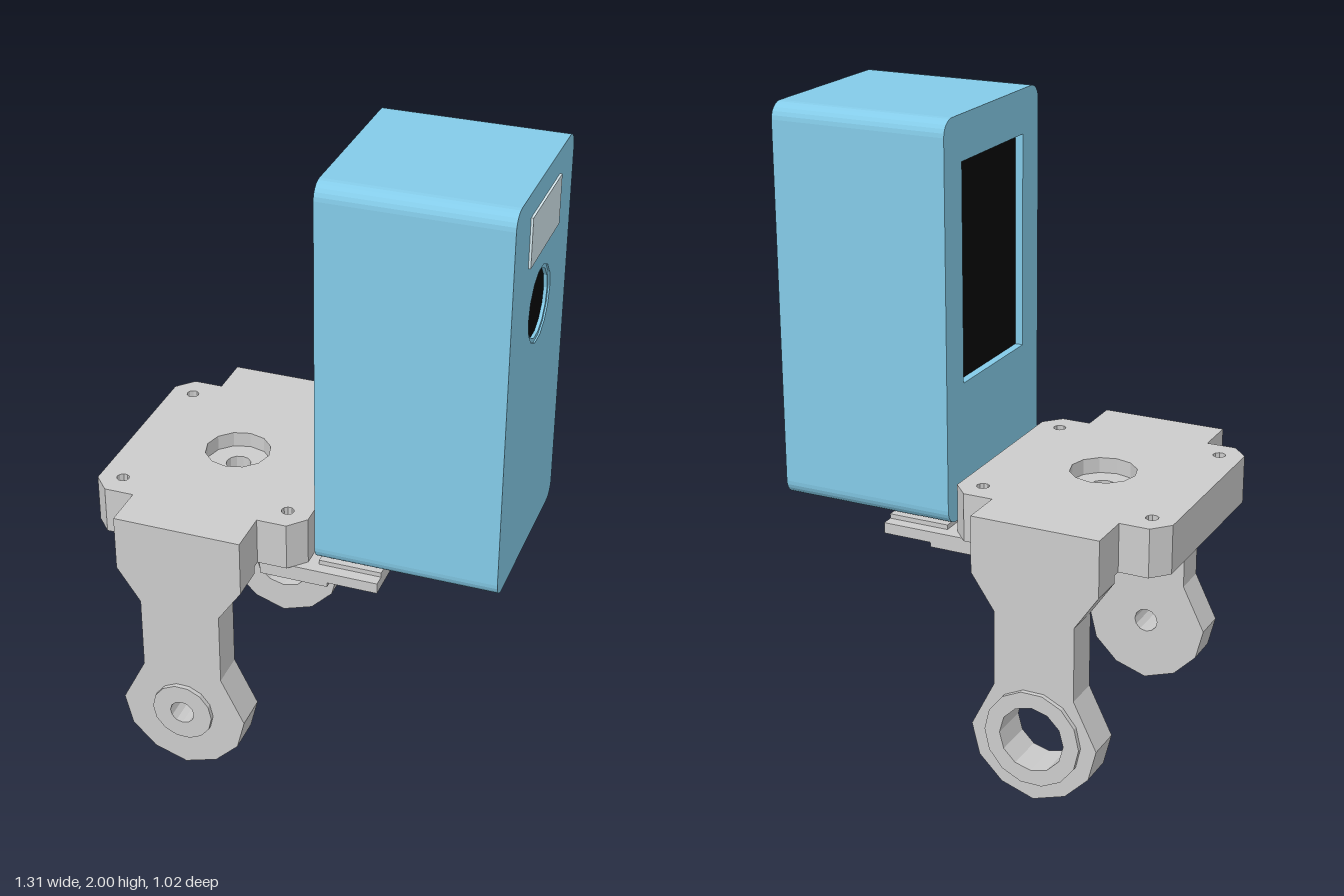
import * as THREE from 'three';

const mat = (color) => new THREE.MeshStandardMaterial({ color, flatShading: true, side: THREE.DoubleSide });
const GREY = mat(0xcccccc), BLUE = mat(0x84cbe8), BLACK = mat(0x080808), SCREEN = mat(0xd6e8ee);

const poly = (pts) => new THREE.Shape(pts.map(([x, y]) => new THREE.Vector2(x, y)));
const rect = (x0, x1, y0, y1) => poly([[x0, y0], [x1, y0], [x1, y1], [x0, y1]]);
// Regular polygon used for round holes and bosses
const ngon = (cx, cy, r, n = 12) => poly(Array.from({ length: n }, (_, i) => {
  const a = (i / n) * Math.PI * 2;
  return [cx + r * Math.cos(a), cy + r * Math.sin(a)];
}));

export function createModel() {
  const model = new THREE.Group();

  const add = (parent, name, geometry, material) => {
    const mesh = new THREE.Mesh(geometry, material);
    mesh.name = name;
    parent.add(mesh);
    return mesh;
  };
  const group = (name) => {
    const g = new THREE.Group();
    g.name = name;
    model.add(g);
    return g;
  };
  const extrude = (shape, depth, holes) => {
    shape.holes = holes;
    return new THREE.ExtrudeGeometry(shape, { depth, bevelEnabled: false, curveSegments: 3 });
  };
  // Extrusions standing along y, z and x
  const alongY = (shape, y0, y1, holes = []) =>
    extrude(shape, y1 - y0, holes).rotateX(-Math.PI / 2).translate(0, y0, 0);
  const alongZ = (shape, z0, z1, holes = []) => extrude(shape, z1 - z0, holes).translate(0, 0, z0);
  const alongX = (shape, x0, x1, holes = []) =>
    extrude(shape, x1 - x0, holes).rotateY(Math.PI / 2).translate(x0, 0, 0);
  const box = (x0, x1, y0, y1, z0, z1) =>
    new THREE.BoxGeometry(x1 - x0, y1 - y0, z1 - z0).translate((x0 + x1) / 2, (y0 + y1) / 2, (z0 + z1) / 2);

  // Bracket platform: cross outline, screw holes, round seat on top, pocket below
  const CX = -0.305, HUB = 0.21;
  const quarter = [[-0.1, 0.495], [-0.1, 0.355], [-0.005, 0.355], [0.045, 0.3]];
  const half = [...quarter, ...quarter.map(([x, z]) => [x, -z]).reverse()];
  const outline = [...half, ...half.map(([x, z]) => [2 * CX - x, z]).reverse()];
  const screwHoles = () => [-0.58, -0.03].flatMap((x) => [-0.275, 0.275].map((z) => ngon(x, z, 0.02, 10)));
  const platform = group('platform');
  [
    ['platformBottom', 0.735, 0.8, rect(-0.48, -0.13, -0.22, 0.22)],
    ['platformFloor', 0.8, 0.84, ngon(CX, 0, 0.04)],
    ['platformTop', 0.84, 0.89, ngon(CX, 0, 0.105)],
  ].forEach(([name, y0, y1, opening]) =>
    add(platform, name, alongY(poly(outline), y0, y1, [opening, ...screwHoles()]), GREY));

  // Legs: waisted profile ending in a polygonal hub
  const legHalf = [[0.205, 0.735], [0.205, 0.71], [0.13, 0.6], [0.13, 0.36], [0.205, 0.21], [0.18, 0.11], [0.105, 0.035]];
  const legOutline = [
    ...legHalf.map(([x, y]) => [CX + x, y]),
    [CX, 0],
    ...legHalf.map(([x, y]) => [CX - x, y]).reverse(),
  ];
  [
    { name: 'frontLeg', z0: 0.38, z1: 0.495, b0: 0.495, b1: 0.51, boss: 0.1, hole: 0.04 },
    { name: 'backLeg', z0: -0.495, z1: -0.38, b0: -0.51, b1: -0.495, boss: 0.155, hole: 0.105 },
  ].forEach((l) => {
    const leg = group(l.name);
    add(leg, l.name + 'Plate', alongZ(poly(legOutline), l.z0, l.z1, [ngon(CX, HUB, l.hole)]), GREY);
    add(leg, l.name + 'Boss', alongZ(ngon(CX, HUB, l.boss, 14), l.b0, l.b1, [ngon(CX, HUB, l.hole)]), GREY);
  });

  // Mounting plate with a thinner lip that carries the case
  const mount = group('mountingPlate');
  add(mount, 'mountBase', alongY(rect(-0.1, 0.12, -0.338, 0.338), 0.685, 0.735,
    [-0.275, 0.275].map((z) => ngon(-0.03, z, 0.02, 10))), GREY);
  add(mount, 'mountLip', alongY(rect(0.12, 0.28, -0.338, 0.338), 0.7, 0.735), GREY);
  add(mount, 'mountSpacer', box(0.08, 0.28, 0.735, 0.75, -0.3, 0.3), GREY);

  // Case: hollow shell with rounded long edges
  const W = 0.312, Y0 = 0.75, Y1 = 2, R = 0.05, T = 0.04;
  const roundOuter = (s) => {
    s.lineTo(W - R, Y0);
    s.absarc(W - R, Y0 + R, R, -Math.PI / 2, 0, false);
    s.absarc(W - R, Y1 - R, R, 0, Math.PI / 2, false);
    s.absarc(-W + R, Y1 - R, R, Math.PI / 2, Math.PI, false);
    s.absarc(-W + R, Y0 + R, R, Math.PI, Math.PI * 1.5, false);
    return s;
  };
  const panel = () => roundOuter(new THREE.Shape().moveTo(0, Y0));
  // Wall loop, optionally open at the bottom for the port
  const wallLoop = (gap) => {
    const s = roundOuter(new THREE.Shape().moveTo(gap, Y0));
    const inner = [[-gap, Y0], [-gap, Y0 + T], [-W + T, Y0 + T], [-W + T, Y1 - T], [W - T, Y1 - T], [W - T, Y0 + T], [gap, Y0 + T]];
    inner.forEach(([x, y]) => s.lineTo(x, y));
    return s;
  };
  const shell = group('case');
  const win = [-0.203, 0.203, 1.18, 1.86], LENS_Y = 1.585;
  add(shell, 'casePanelRight', alongX(panel(), 0.07, 0.1, [rect(...win)]), BLUE);
  add(shell, 'caseWallInner', alongX(wallLoop(0.0005), 0.1, 0.41), BLUE);
  add(shell, 'caseWallPort', alongX(wallLoop(0.09), 0.41, 0.59), BLUE);
  add(shell, 'caseWallOuter', alongX(wallLoop(0.0005), 0.59, 0.62), BLUE);
  add(shell, 'casePanelLeft', alongX(panel(), 0.62, 0.645, [ngon(0, LENS_Y, 0.118, 14)]), BLUE);
  add(shell, 'portBlock', box(0.4, 0.6, 0.81, 0.85, -0.1, 0.1), GREY);
  add(shell, 'bottomSlot', box(0.36, 0.39, 0.747, 0.755, -0.08, 0.08), BLACK);

  // Display, lens and label plate
  add(shell, 'display', box(0.095, 0.11, win[2] - 0.01, win[3] + 0.01, win[0] - 0.01, win[1] + 0.01), BLACK);
  add(shell, 'lensRim', alongX(ngon(0, LENS_Y, 0.118, 14), 0.62, 0.64, [ngon(0, LENS_Y, 0.105, 14)]), BLUE);
  add(shell, 'lens', alongX(ngon(0, LENS_Y, 0.112, 14), 0.61, 0.63), BLACK);
  add(shell, 'sensorPlate', box(0.64, 0.652, 1.77, 1.925, -0.157, 0.157), SCREEN);

  return model;
}
